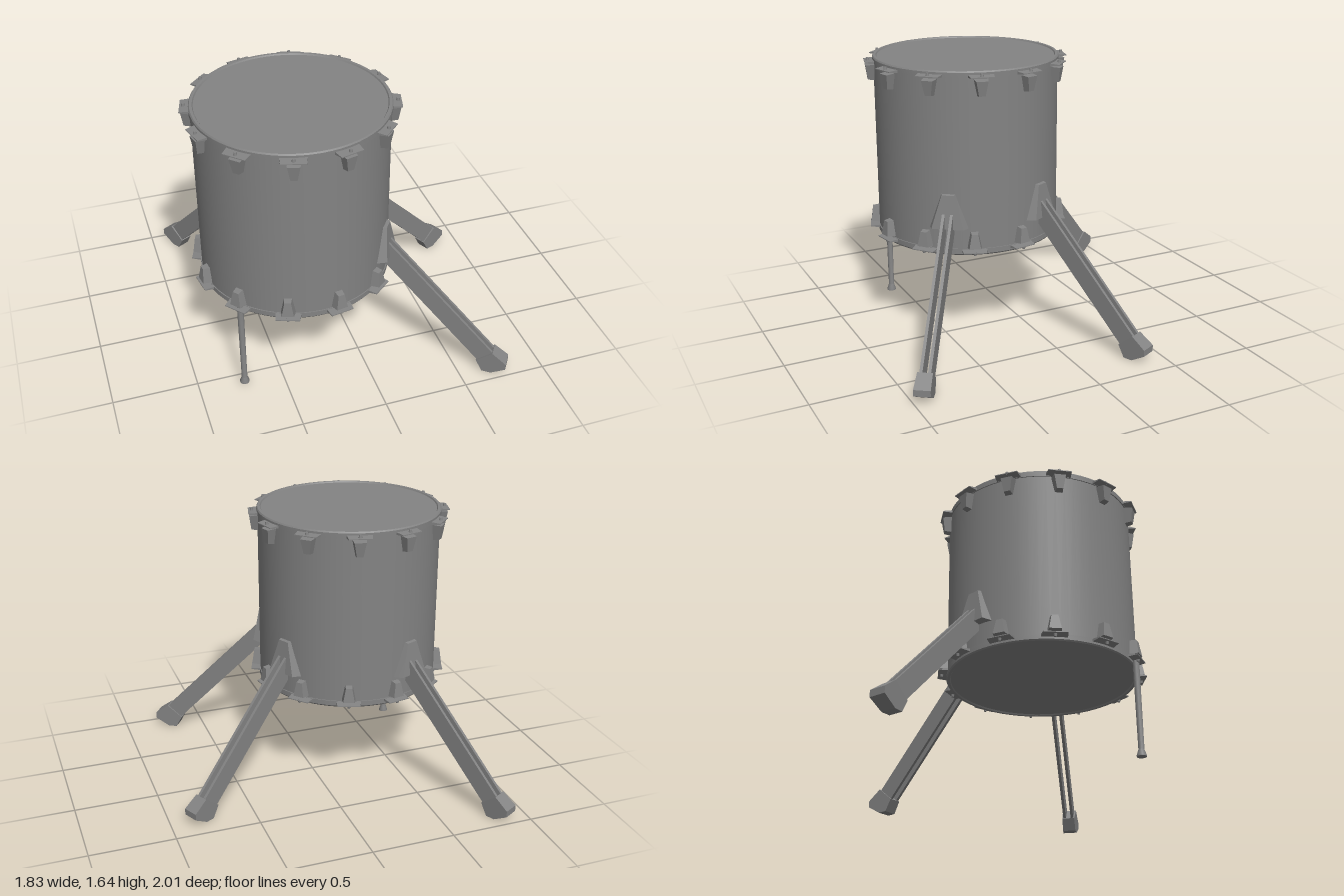
import * as THREE from 'three';
import { toCreasedNormals } from 'three/addons/utils/BufferGeometryUtils.js';

const CX = -0.305, CZ = 0.205; // drum axis
const R = 0.55;                // shell radius

export function createModel() {
  const model = new THREE.Group();
  const darkGrey = new THREE.MeshStandardMaterial({ color: 0x838383 });

  const add = (parent, name, geometry, x = 0, y = 0, z = 0) => {
    const mesh = new THREE.Mesh(geometry, darkGrey);
    mesh.name = name;
    mesh.position.set(x, y, z);
    parent.add(mesh);
  };
  const group = (parent, name, x = 0, y = 0, z = 0, angle = 0) => {
    const g = new THREE.Group();
    g.name = name;
    g.position.set(x, y, z);
    g.rotation.y = angle;
    parent.add(g);
    return g;
  };

  // Box whose corners follow a rule; its back lies on z = 0
  const shapedBox = (w, h, d, rule) => {
    const g = new THREE.BoxGeometry(w, h, d).translate(0, 0, d / 2);
    const p = g.attributes.position, v = new THREE.Vector3();
    for (let i = 0; i < p.count; i++) {
      v.fromBufferAttribute(p, i);
      rule(v, v.y > 0, v.z > d / 2);
      p.setXYZ(i, v.x, v.y, v.z);
    }
    g.computeVertexNormals();
    return g;
  };

  // Side profile in (outward, up), given a thickness across x
  const sideProfile = (points, thickness) => {
    const shape = new THREE.Shape(points.map(([u, y]) => new THREE.Vector2(u, y)));
    return new THREE.ExtrudeGeometry(shape, { depth: thickness, bevelEnabled: false })
      .translate(0, 0, -thickness / 2).rotateY(-Math.PI / 2);
  };

  const lathe = (points, segments) => toCreasedNormals(
    new THREE.LatheGeometry(points.map(([r, y]) => new THREE.Vector2(r, y)), segments), 0.5);

  // Shell
  const drum = group(model, 'drum', CX, 0, CZ);
  add(drum, 'shell', new THREE.CylinderGeometry(R, R, 1.04, 64, 1, true), 0, 1.1025, 0);

  // Parts of one drum end, made for the top and turned over for the bottom
  const hoopGeo = lathe([[0.53, -0.038], [0.556, -0.038], [0.556, -0.008], [0.55, 0],
    [0.535, 0], [0.53, -0.008], [0.53, -0.038]], 64);
  const headGeo = new THREE.CylinderGeometry(0.532, 0.532, 0.015, 64);
  const lugGeo = shapedBox(0.085, 0.098, 0.06, (v, top, outer) => {
    if (!top) v.x *= 0.55;
    if (outer) { v.x *= 0.8; v.y *= 0.88; if (!top) v.z -= 0.012; }
  });
  const clawGeo = shapedBox(0.15, 0.02, 0.075, (v, top, outer) => {
    if (outer) { v.x *= 0.9; v.y *= 0.25; }
  });
  const boltGeo = new THREE.CylinderGeometry(0.008, 0.012, 0.024, 8);

  const drumEnd = (name, y, flipped, firstAngle) => {
    const end = group(drum, name, 0, y, 0);
    if (flipped) end.rotation.z = Math.PI;
    add(end, 'hoop', hoopGeo);
    add(end, 'head', headGeo, 0, -0.0155, 0);
    for (let i = 0; i < 12; i++) {
      const deg = firstAngle + i * 30;
      const a = THREE.MathUtils.degToRad(flipped ? -deg : deg);
      const station = group(end, 'tensionStation', 0, 0, 0, a);
      add(station, 'lug', lugGeo, 0, -0.094, 0.54);
      add(station, 'claw', clawGeo, 0, -0.028, 0.53);
      add(station, 'bolt', boltGeo, 0, -0.02, 0.584);
    }
  };
  drumEnd('topEnd', 1.645, false, 15);
  drumEnd('bottomEnd', 0.56, true, 10);

  // Legs: anchor point and outward direction in plan
  const legs = [
    { name: 'backRightLeg', x: -0.52, z: -0.348, dx: -0.49, dz: -0.872 },
    { name: 'backLeftLeg', x: 0.235, z: -0.07, dx: 0.9, dz: -0.436 },
    { name: 'frontLeftLeg', x: 0.18, z: 0.55, dx: 0.822, dz: 0.57 },
  ];
  const mountGeo = shapedBox(0.23, 0.21, 0.058, (v, top, outer) => {
    if (top) v.x *= 0.38;
    if (outer) { v.x *= 0.82; v.y *= 0.94; if (top) v.z -= 0.024; }
  });
  const railGeo = sideProfile(
    [[-0.04, 0.685], [0.55, 0.075], [0.62, 0.09], [0.637, 0.147], [-0.04, 0.845]], 0.017);
  const footGeo = sideProfile([[0.585, 0], [0.64, 0], [0.725, 0.05], [0.725, 0.088],
    [0.64, 0.15], [0.545, 0.072]], 0.096);
  // Narrow the foot toward the rails
  const fp = footGeo.attributes.position;
  for (let i = 0; i < fp.count; i++) {
    const t = THREE.MathUtils.clamp((fp.getZ(i) - 0.545) / 0.18, 0, 1);
    fp.setX(i, fp.getX(i) * (0.8 + 0.2 * t));
  }
  footGeo.computeVertexNormals();

  for (const { name, x, z, dx, dz } of legs) {
    const radial = Math.atan2(x - CX, z - CZ);
    const mount = group(drum, name + 'Mount', 0, 0, 0, radial);
    add(mount, 'bracket', mountGeo, 0, 0.828, 0.535);
    const leg = group(model, name, x, 0, z, Math.atan2(dx, dz));
    for (const side of [-1, 1]) add(leg, 'rail', railGeo, side * 0.024, 0, 0);
    add(leg, 'foot', footGeo);
  }

  // Slim vertical support rod with a flared tip
  const rodGeo = lathe([[0, 0.015], [0.028, 0.015], [0.028, 0.022], [0.017, 0.055],
    [0.019, 0.62], [0, 0.62]], 16);
  add(model, 'supportRod', rodGeo, -0.733, 0, 0.578);

  return model;
}
